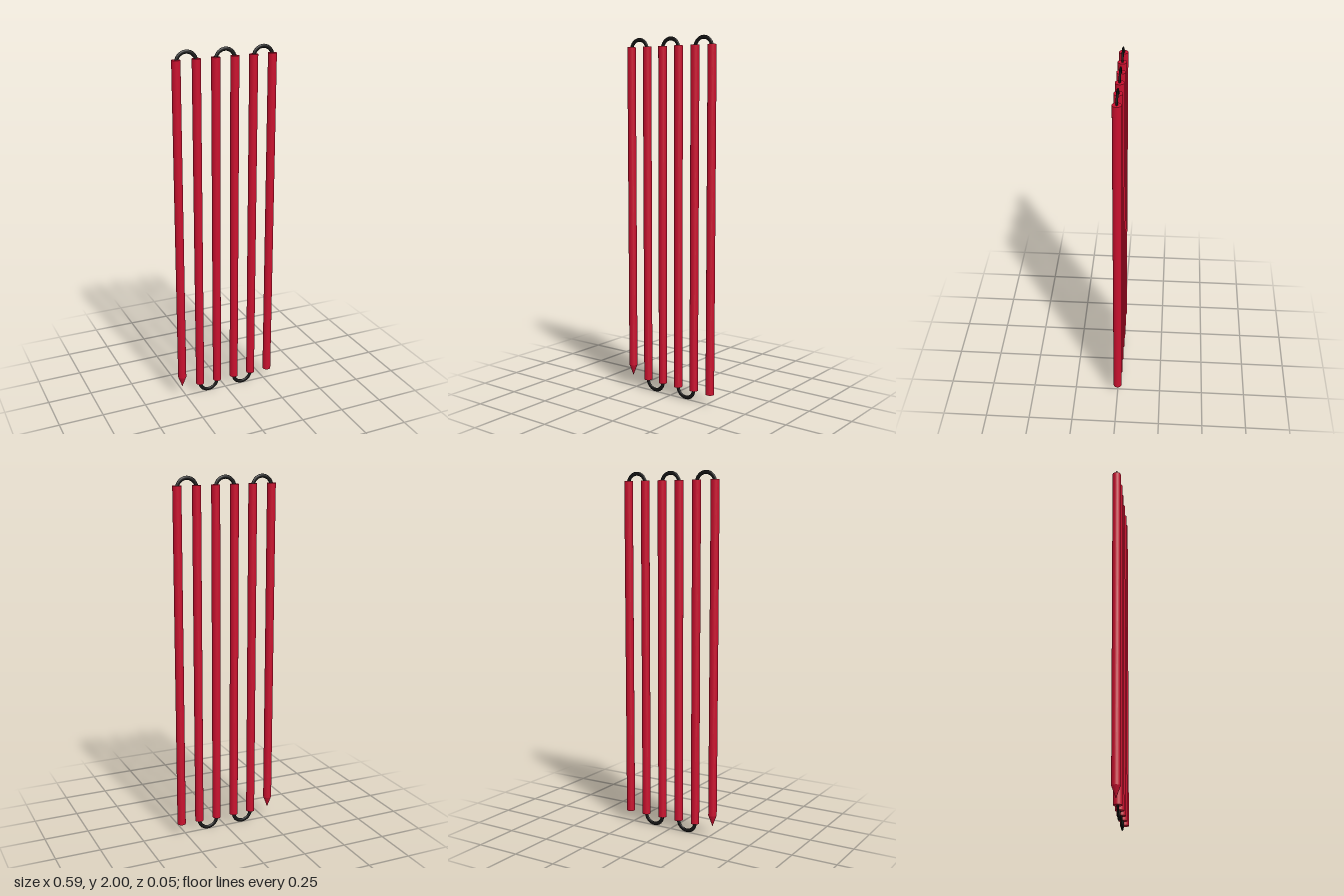
import * as THREE from 'three';

const RADIUS = 0.0235;
const TOP = 1.951;
const BOTTOM = 0.062;
const TIP_BASE = 0.13;
const POLE_X = [-0.272, -0.161, -0.054, 0.054, 0.162, 0.271];

export function createModel() {
  const group = new THREE.Group();
  const red = new THREE.MeshStandardMaterial({ color: 0xc8102e });
  const black = new THREE.MeshStandardMaterial({ color: 0x141414 });

  const add = (name, geometry, material, x, y) => {
    const mesh = new THREE.Mesh(geometry, material);
    mesh.name = name;
    mesh.position.set(x, y, 0);
    group.add(mesh);
    return mesh;
  };

  // Six folded pole sections; the first one ends in a point
  POLE_X.forEach((x, i) => {
    const bottom = i === 0 ? TIP_BASE : BOTTOM;
    const length = TOP - bottom;
    add(`poleSection${i + 1}`, new THREE.CylinderGeometry(RADIUS, RADIUS, length, 32), red, x, bottom + length / 2);
  });

  // Pointed tip, facing down
  const tipLength = TIP_BASE - 0.066;
  const tip = new THREE.ConeGeometry(RADIUS, tipLength, 32, 1, true).rotateX(Math.PI);
  add('poleTip', tip, red, POLE_X[0], TIP_BASE - tipLength / 2);

  // Flattened elastic cord loops, alternating top and bottom
  for (let i = 0; i < POLE_X.length - 1; i++) {
    const atTop = i % 2 === 0;
    const arc = (POLE_X[i + 1] - POLE_X[i]) / 2;
    const thickness = 0.0105;
    const loop = new THREE.TorusGeometry(arc, thickness, 14, 32, Math.PI);
    if (!atTop) loop.rotateZ(Math.PI);
    loop.scale(1, 1, 0.55);
    const reach = arc + thickness;
    add(`cordLoop${i + 1}`, loop, black, (POLE_X[i] + POLE_X[i + 1]) / 2, atTop ? 2 - reach : reach);
  }
  return group;
}
